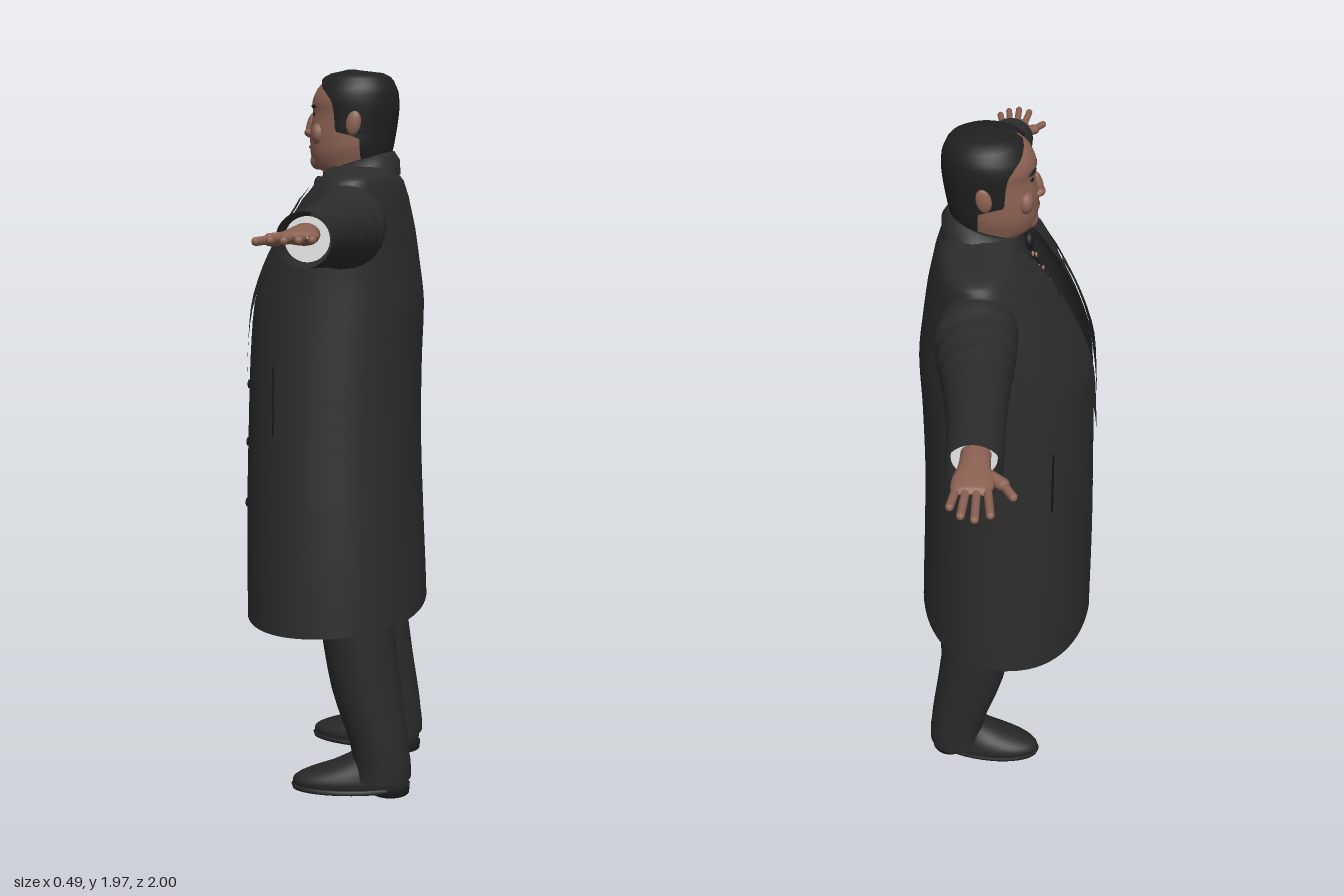
import * as THREE from 'three';

const mat = (name, color, side = THREE.FrontSide) => {
  const m = new THREE.MeshStandardMaterial({ color, side });
  m.name = name;
  return m;
};
const N = 2.2; // roundness of the coat sections
const pw = (v, e) => Math.sign(v) * Math.abs(v) ** e;

// Surface through rows of points; closed rows wrap around
function loft(rows, closed = true) {
  const n = rows[0].length, idx = [];
  for (let i = 0; i < rows.length - 1; i++)
    for (let j = 0; j < (closed ? n : n - 1); j++) {
      const k = (j + 1) % n, a = i * n + j, b = i * n + k;
      idx.push(a, b, b + n, a, b + n, a + n);
    }
  const g = new THREE.BufferGeometry();
  g.setAttribute('position', new THREE.Float32BufferAttribute(rows.flat(2), 3));
  g.setIndex(idx);
  g.computeVertexNormals();
  return g;
}
// Closed horizontal section, counted from the front
function ring(y, w, zf, zb, cx = 0) {
  const cz = (zf + zb) / 2, d = (zf - zb) / 2;
  return Array.from({ length: 40 }, (_, j) => {
    const a = j / 40 * Math.PI * 2;
    return [cx + w * Math.sin(a), y, cz + d * Math.cos(a)];
  });
}
// Section left open at the front by the angle gap on each side
function openRing(y, w, zf, zb, gap, cx = 0, e = 1) {
  const cz = (zf + zb) / 2, d = (zf - zb) / 2;
  return Array.from({ length: 65 }, (_, j) => {
    const a = gap + (Math.PI - gap) * 2 * j / 64;
    return [cx + w * pw(Math.sin(a), e), y, cz + d * pw(Math.cos(a), e)];
  });
}
// Smoothly resample a short table whose first column rises
function smooth(table, steps) {
  const out = [];
  for (let i = 0; i < table.length - 1; i++)
    for (let s = 0; s < steps; s++)
      out.push(table[i].map((_, c) => {
        const p = q => table[Math.min(Math.max(q, 0), table.length - 1)][c], t = s / steps;
        if (c === 0) return p(i) + (p(i + 1) - p(i)) * t;
        const [a, b, d, e] = [p(i - 1), p(i), p(i + 1), p(i + 2)];
        return b + 0.5 * t * (d - a + t * (2 * a - 5 * b + 4 * d - e + t * (3 * (b - d) + e - a)));
      }));
  out.push(table[table.length - 1]);
  return out;
}
function sample(table, y) {
  let i = 0;
  while (i < table.length - 2 && table[i + 1][0] < y) i++;
  const t = Math.min(1, (y - table[i][0]) / (table[i + 1][0] - table[i][0]));
  return table[i].map((v, c) => v + (table[i + 1][c] - v) * t);
}
const span = (a, b, n) => Array.from({ length: n + 1 }, (_, i) => a + (b - a) * i / n);

// Tables of height, half width, front and back
const COAT = smooth([[0.5, 0.378, 0.25, -0.245], [0.8, 0.357, 0.25, -0.232], [1.0, 0.34, 0.246, -0.225],
  [1.2, 0.327, 0.24, -0.226], [1.35, 0.318, 0.228, -0.23], [1.45, 0.313, 0.195, -0.218], [1.55, 0.31, 0.145, -0.203],
  [1.63, 0.304, 0.092, -0.185], [1.675, 0.292, 0.055, -0.17], [1.695, 0.255, 0.035, -0.155], [1.715, 0.11, 0.03, -0.14]], 3);
const TORSO = smooth([[0.72, 0.22, 0.14, -0.15], [1.0, 0.24, 0.168, -0.17], [1.2, 0.25, 0.17, -0.18], [1.4, 0.25, 0.15, -0.18],
  [1.55, 0.22, 0.1, -0.16], [1.65, 0.12, 0.055, -0.13], [1.7, 0.085, 0.045, -0.125]], 3);
const HEAD = smooth([[1.62, 0.075, 0.02, -0.11], [1.695, 0.078, 0.035, -0.125], [1.715, 0.08, 0.068, -0.128], [1.745, 0.09, 0.078, -0.132],
  [1.77, 0.095, 0.08, -0.138], [1.81, 0.097, 0.08, -0.145], [1.855, 0.1, 0.072, -0.151], [1.885, 0.102, 0.074, -0.152],
  [1.92, 0.096, 0.06, -0.147], [1.945, 0.075, 0.035, -0.128], [1.96, 0.045, 0.005, -0.095], [1.964, 0.002, -0.03, -0.034]], 3);
const frontZ = (table, x, y, n = 2) => {
  const [, w, f, b] = sample(table, y);
  return (f + b) / 2 + (f - b) / 2 * (1 - Math.min(1, Math.abs(x) / w) ** n) ** (1 / n);
};

export function createModel() {
  const root = new THREE.Group(), man = new THREE.Group();
  root.name = 'manInOvercoat';
  man.name = 'figure';
  man.rotation.y = -Math.PI / 2;
  root.add(man);
  const D = THREE.DoubleSide;
  const coatM = mat('charcoal coat', 0x2c2c2c, D), suitM = mat('dark suit', 0x2a2a2a, D), hairM = mat('black hair', 0x202020, D),
    skinM = mat('skin', 0x8c6253), shoeM = mat('shoe leather', 0x272727), seamM = mat('dark seams', 0x141414),
    lipM = mat('lips', 0x744a40), tieM = mat('tie cloth', 0x1c1c1f, D), spotM = mat('tan pattern', 0x9c7462), shirtM = mat('white cuff', 0xf4f4f4, D);
  const add = (name, geo, m, parent = man) => {
    const o = new THREE.Mesh(geo, m);
    o.name = name;
    parent.add(o);
    return o;
  };
  const ball = (name, m, p, s) => {
    const o = add(name, new THREE.SphereGeometry(1, 20, 14), m);
    o.position.set(...p);
    o.scale.set(...s);
    return o;
  };
  const limb = (name, m, a, b, r) => {
    const A = new THREE.Vector3(...a), B = new THREE.Vector3(...b), v = B.clone().sub(A);
    const o = add(name, new THREE.CapsuleGeometry(r, v.length(), 5, 10), m);
    o.position.copy(A).add(B).multiplyScalar(0.5);
    o.quaternion.setFromUnitVectors(new THREE.Vector3(0, 1, 0), v.normalize());
  };

  // Open overcoat with a slightly sloping hem, and its turned collar
  add('overcoat', loft(COAT.map(([y, w, f, b], i) => {
    const gap = Math.asin((Math.min(0.085, w * 0.8) / w) ** (N / 2));
    const shift = Math.max(0, 0.012 * (1 - (y - 0.5) / 0.9));
    return openRing(y, w, f, b, gap, shift, 2 / N).map(p => i ? p : [p[0], y - 0.05 * p[2], p[2]]);
  }), false), coatM);
  const collar = [[1.69, 0.135, 0.06, -0.165, 0.1], [1.725, 0.118, 0.055, -0.163, 0.22], [1.75, 0.095, 0.045, -0.148, 0.3],
    [1.752, 0.085, 0.04, -0.138, 0.3], [1.71, 0.085, 0.04, -0.13, 0.2]];
  add('coatCollar', loft(collar.map(([y, w, f, b, k]) =>
    openRing(y, w, f, b, 0.7).map(p => [p[0], y - k * (p[2] + 0.13), p[2]])), false), coatM);

  // Suit and patterned tie in the opening
  add('suitJacket', loft(TORSO.map(r => ring(...r))), suitM);
  add('tie', loft(span(1.3, 1.67, 12).map(y =>
    [-0.026, 0, 0.026].map(x => [x, y, frontZ(TORSO, x, y) + 0.006])), false), tieM);
  ball('tieKnot', tieM, [0, 1.665, 0.057], [0.022, 0.024, 0.014]);
  for (let i = 0; i < 9; i++)
    for (const x of [-0.014, 0.014]) {
      const y = 1.33 + i * 0.038 + (x > 0 ? 0.019 : 0);
      ball('tieSpot', spotM, [x, y, frontZ(TORSO, x, y) + 0.007], [0.006, 0.008, 0.004]);
    }

  // Head, hair and face
  add('head', loft(HEAD.map(r => ring(...r))), skinM);
  const hairline = [[1.72, 1.95], [1.79, 1.85], [1.805, 1.3], [1.85, 1.2], [1.885, 1.15], [1.91, 0.9], [1.93, 0.55], [1.945, 0.12], [1.955, 0], [1.97, 0]];
  add('hair', loft(span(1.72, 1.964, 26).map(y => {
    const [, w, f, b] = sample(HEAD, y);
    return openRing(y + (y > 1.93 ? 0.006 : 0), w + 0.007, f + 0.006, b - 0.009, sample(hairline, y)[1]);
  }), false), hairM);
  ball('crown', hairM, [0, 1.962, -0.033], [0.03, 0.009, 0.03]);
  ball('nose', skinM, [0, 1.825, 0.077], [0.013, 0.035, 0.014]).rotation.x = -0.25;
  ball('noseTip', skinM, [0, 1.805, 0.083], [0.018, 0.012, 0.014]);
  ball('chin', skinM, [0, 1.73, 0.06], [0.035, 0.024, 0.02]);
  ball('mouth', lipM, [0, 1.767, 0.077], [0.027, 0.006, 0.006]);
  for (const s of [1, -1]) {
    ball('nostril', skinM, [s * 0.013, 1.803, 0.077], [0.009, 0.009, 0.011]);
    ball('eye', seamM, [s * 0.034, 1.853, 0.0635], [0.011, 0.005, 0.005]);
    ball('eyebrow', hairM, [s * 0.036, 1.874, 0.0645], [0.021, 0.005, 0.007]).rotation.set(0, s * 0.35, s * -0.1);
    ball('cheek', skinM, [s * 0.052, 1.8, 0.05], [0.028, 0.03, 0.02]);
    ball('ear', skinM, [s * 0.103, 1.828, -0.05], [0.011, 0.033, 0.02]).rotation.x = -0.15;

    // Lapel with its notch, laid on the coat front
    const lapel = (name, table) => add(name, loft(smooth(table, 4).map(([y, w]) => span(0.083, 0.083 + w, 6).map(x =>
      [s * x, y, frontZ(COAT, x, y, N) + 0.009])), false), coatM);
    lapel('lapel', [[1.15, 0.004], [1.3, 0.06], [1.45, 0.11], [1.56, 0.135]]);
    lapel('upperLapel', [[1.575, 0.09], [1.62, 0.1], [1.66, 0.07]]);

    // Pocket slit and front buttons
    const slit = span(1.02, 1.2, 6).map(y => {
      const [, w, f, b] = sample(COAT, y), c = (f + b) / 2, z = 0.135;
      return new THREE.Vector3(s * w * (1 - ((z - c) / ((f - b) / 2)) ** N) ** (1 / N) + 0.003, y, z);
    });
    add('pocketSlit', new THREE.TubeGeometry(new THREE.CatmullRomCurve3(slit), 12, 0.003, 6), seamM);
    for (const y of s > 0 ? [0.8, 0.97, 1.13] : [1.13])
      ball('coatButton', seamM, [s * 0.115, y, frontZ(COAT, 0.115, y, N) + 0.002], [0.012, 0.012, 0.004]);

    // Arm sections run outward: distance, centre height, half height, centre depth, half depth
    const arm = (table, wrinkle) => loft(smooth(table, 6).map(([x, yc, ry, zc, rz]) =>
      Array.from({ length: 28 }, (_, j) => {
        const a = j / 28 * Math.PI * 2;
        const k = 1 + wrinkle * Math.sin(x * 85 + 2 * Math.cos(a)) * Math.max(0, 1 - Math.abs(x - 0.45) / 0.22);
        return [s * x, yc - s * ry * k * Math.sin(a), zc + rz * k * Math.cos(a)];
      })));
    add('sleeve', arm([[0.22, 1.575, 0.09, -0.05, 0.09], [0.3, 1.565, 0.102, -0.058, 0.102], [0.37, 1.557, 0.094, -0.054, 0.096],
      [0.5, 1.557, 0.081, -0.044, 0.08], [0.65, 1.555, 0.073, -0.034, 0.068], [0.81, 1.555, 0.064, -0.028, 0.064]], 0.04), coatM);
    const cuff = add('shirtCuff', new THREE.CircleGeometry(0.052, 28), shirtM);
    cuff.position.set(s * 0.77, 1.555, -0.03);
    cuff.rotation.y = Math.PI / 2;
    add('palm', arm([[0.765, 1.566, 0.026, -0.026, 0.034], [0.82, 1.566, 0.023, -0.026, 0.036], [0.865, 1.565, 0.018, -0.026, 0.046],
      [0.9, 1.564, 0.013, -0.027, 0.044], [0.915, 1.564, 0.003, -0.027, 0.03]], 0), skinM);
    [[0.006, 0.018, 0.975], [-0.016, -0.014, 0.991], [-0.038, -0.044, 0.98], [-0.059, -0.069, 0.952]].forEach(([z0, z1, x]) =>
      limb('finger', skinM, [s * 0.885, 1.564, z0], [s * x, 1.562, z1], 0.0095));
    limb('thumb', skinM, [s * 0.835, 1.562, -0.002], [s * 0.865, 1.558, 0.038], 0.015);
    limb('thumbTip', skinM, [s * 0.865, 1.558, 0.038], [s * 0.905, 1.556, 0.062], 0.01);

    // Trouser leg
    const cx = s > 0 ? 0 : -0.015;
    add('trouserLeg', loft(smooth([[0.05, 0.176, 0.084, -0.06, -0.222], [0.11, 0.176, 0.085, -0.06, -0.218], [0.3, 0.165, 0.1, 0, -0.192],
      [0.5, 0.154, 0.111, 0.037, -0.168], [0.7, 0.13, 0.122, 0.08, -0.16], [0.9, 0.11, 0.125, 0.1, -0.15]], 4)
      .map(([y, x, w, f, b]) => ring(y, w, f, b, s * x + cx))), suitM);

    // Shoe, turned slightly outward, with sole and heel
    const shoe = new THREE.Group();
    shoe.name = 'shoe';
    shoe.position.set(s * 0.186 + cx, 0, 0);
    shoe.rotation.y = s * 0.14;
    man.add(shoe);
    const shoePart = (name, rows) => add(name, loft(rows.map(r => ring(...r))), shoeM, shoe);
    shoePart('shoeUpper', smooth([[0.02, 0.066, 0.1, -0.215], [0.04, 0.069, 0.105, -0.217], [0.06, 0.064, 0.075, -0.216],
      [0.085, 0.055, 0, -0.21], [0.115, 0.048, -0.06, -0.2]], 3));
    shoePart('shoeSole', [[0.012, 0.001, -0.05, -0.06], [0.012, 0.068, 0.106, -0.218], [0.024, 0.071, 0.11, -0.22], [0.026, 0.06, 0.1, -0.21]]);
    shoePart('shoeHeel', [[0, 0.001, -0.16, -0.162], [0, 0.056, -0.11, -0.218], [0.03, 0.058, -0.11, -0.22]]);
  }
  return root;
}
